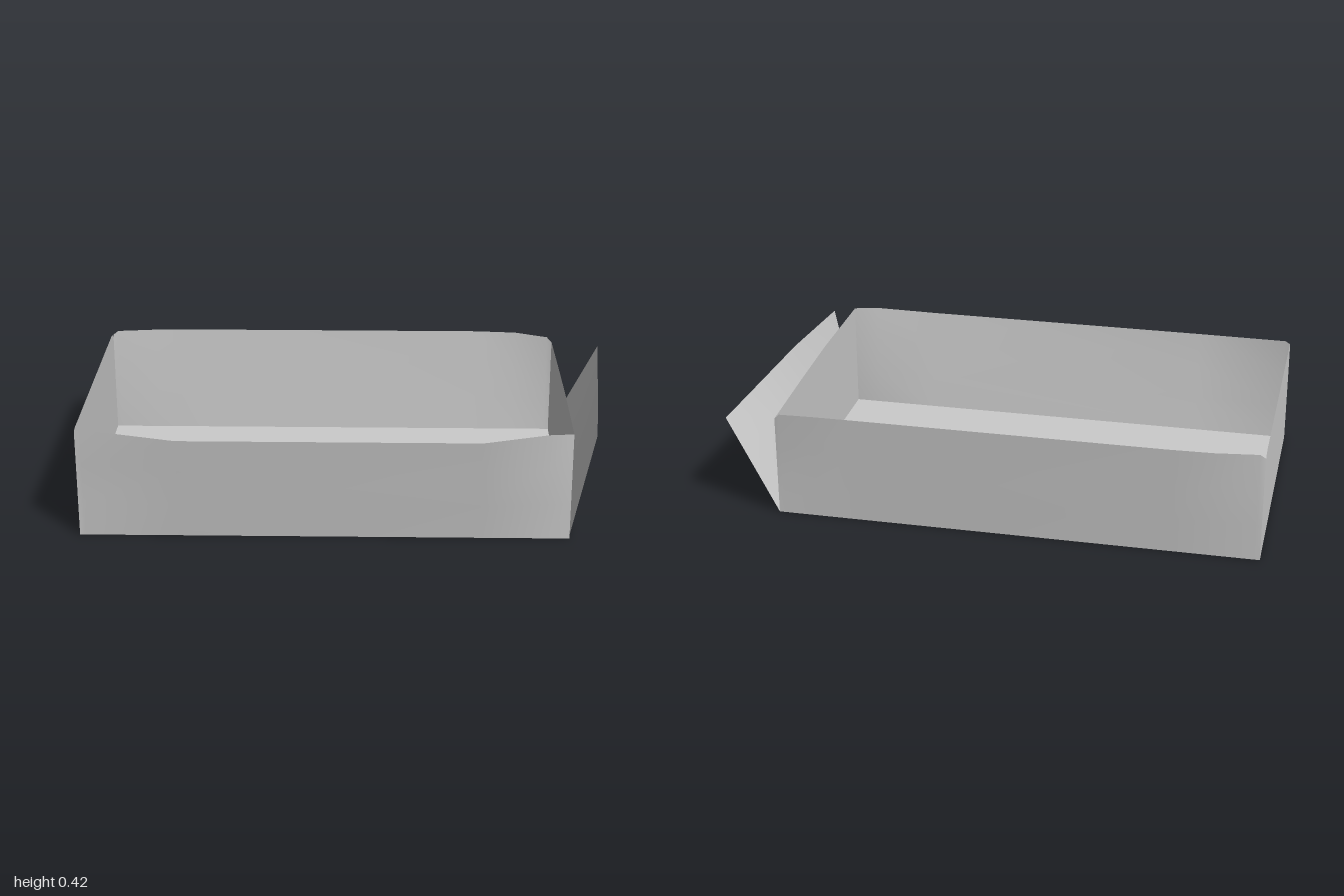
import * as THREE from 'three';

const material = new THREE.MeshStandardMaterial({ color: 0xcccccc, side: THREE.DoubleSide });

// Thin sheet ruled from a straight lower edge to a polyline upper edge.
function sheet(name, start, end, top, rows = 3) {
  const a = new THREE.Vector3(...start), b = new THREE.Vector3(...end);
  const upper = top.map(p => new THREE.Vector3(...p));
  const axis = b.clone().sub(a);
  const positions = [], index = [], n = upper.length;
  for (let r = 0; r <= rows; r++) {
    upper.forEach(p => {
      const t = THREE.MathUtils.clamp(p.clone().sub(a).dot(axis) / axis.lengthSq(), 0, 1);
      const low = a.clone().lerp(b, t);
      positions.push(...low.lerp(p, r / rows).toArray());
    });
  }
  for (let r = 0; r < rows; r++) {
    for (let c = 0; c < n - 1; c++) {
      const i = r * n + c;
      index.push(i, i + 1, i + n + 1, i, i + n + 1, i + n);
    }
  }
  const geometry = new THREE.BufferGeometry();
  geometry.setAttribute('position', new THREE.Float32BufferAttribute(positions, 3));
  geometry.setIndex(index);
  geometry.computeVertexNormals();
  const mesh = new THREE.Mesh(geometry, material);
  mesh.name = name;
  return mesh;
}

export function createModel() {
  const group = new THREE.Group();
  group.name = 'openCartonTray';
  const right = -1, left = 0.81, front = 0.51, back = -0.54, base = 0.003;

  // Flat bottom panel
  const floor = new THREE.Mesh(new THREE.PlaneGeometry(left - right, front - back), material);
  floor.name = 'floor';
  floor.rotation.x = -Math.PI / 2;
  floor.position.set((left + right) / 2, base, (front + back) / 2);
  group.add(floor);

  // Long walls bow outward along their top edges
  group.add(sheet('frontWall', [right, base, front], [left, base, front], [
    [right, 0.415, front], [-0.98, 0.425, 0.513], [-0.63, 0.405, 0.565],
    [0.48, 0.405, 0.565], [0.72, 0.423, 0.527], [left, 0.42, front],
  ]));
  group.add(sheet('backWall', [left, base, back], [right, base, back], [
    [left, 0.39, back], [0.79, 0.41, -0.545], [0.66, 0.422, -0.565], [0.5, 0.425, -0.57],
    [-0.65, 0.425, -0.57], [-0.82, 0.425, -0.565], [-0.98, 0.425, -0.545], [right, 0.41, back],
  ]));

  // Upright end walls with slightly clipped corners
  group.add(sheet('rightEndWall', [right, base, back], [right, base, front], [
    [right, 0.4, back], [right, 0.415, -0.52], [right, 0.422, -0.49],
    [right, 0.422, 0.49], [right, 0.415, front],
  ]));
  group.add(sheet('leftEndWall', [left, base, front], [left, base, back], [
    [left, 0.42, front], [left, 0.42, 0.1], [left, 0.408, -0.2], [left, 0.39, back],
  ]));

  // Loose outer flap, hinged on the floor and twisted outward to the back
  group.add(sheet('outerFlap', [left, base, front], [left, base, back], [
    [0.895, 0.408, 0.495], [0.937, 0.408, 0.1], [0.967, 0.393, -0.22], [1, 0.375, back],
  ]));
  return group;
}
